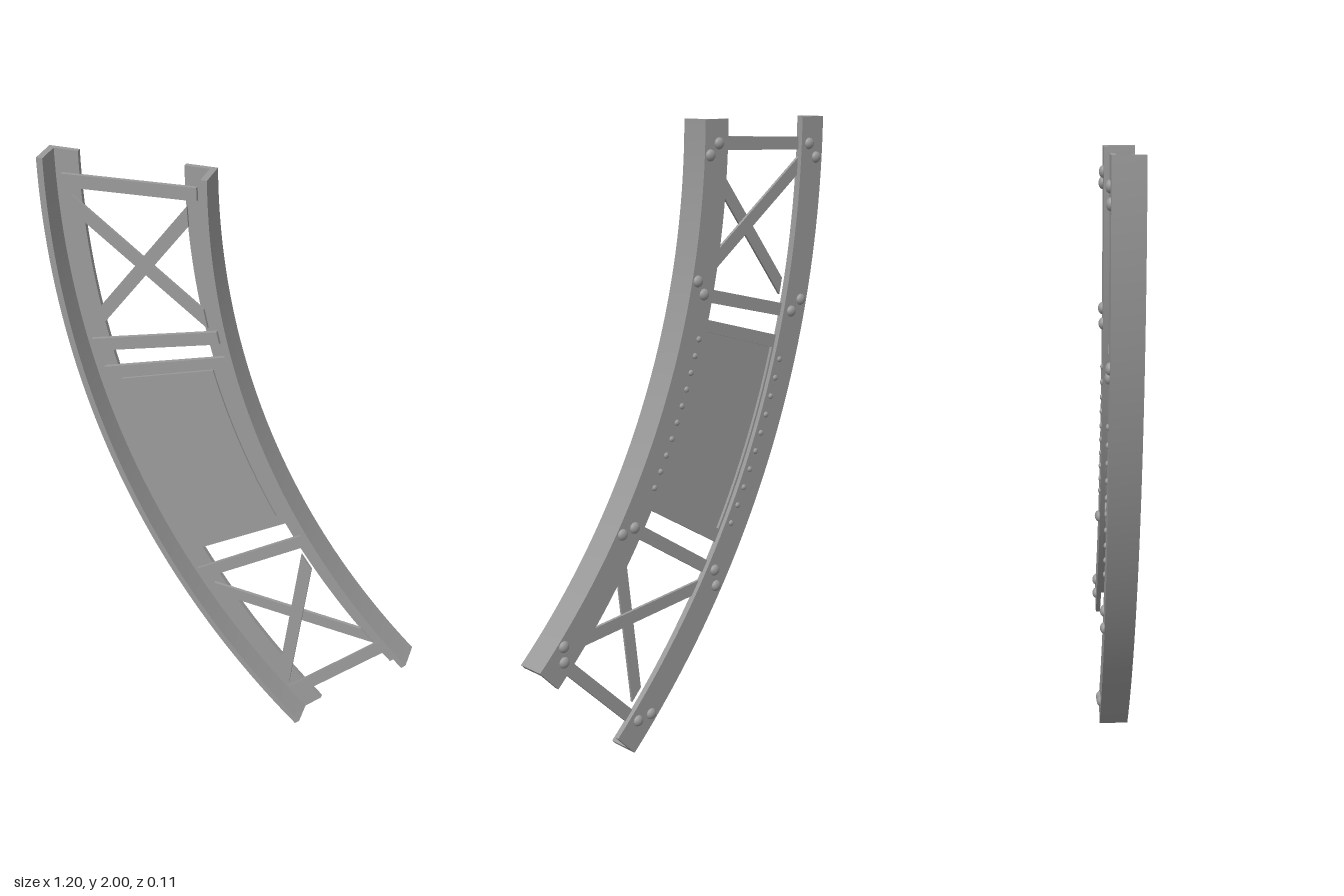
import * as THREE from 'three';
import { toCreasedNormals } from 'three/addons/utils/BufferGeometryUtils.js';

// Centre of curvature and radii of the curved girder
const CX = 2.228, CY = 2, R_OUT = 2.828, R_IN = 2.302, SWEEP = 45;
const rad = THREE.MathUtils.degToRad;
const material = new THREE.MeshStandardMaterial({ color: 0x9a9a9a });

// Point at radius r and angle a (degrees down from the top end)
const polar = (r, a) => new THREE.Vector2(CX - r * Math.cos(rad(a)), CY - r * Math.sin(rad(a)));

// Closed arc-shaped outline
function sector(Type, r0, r1, a0, a1) {
  const s = new Type();
  s.absarc(CX, CY, r1, Math.PI + rad(a0), Math.PI + rad(a1), false);
  s.absarc(CX, CY, r0, Math.PI + rad(a1), Math.PI + rad(a0), true);
  s.closePath();
  return s;
}

function plate(name, shape, z0, z1) {
  const geo = new THREE.ExtrudeGeometry(shape, { depth: z1 - z0, bevelEnabled: false, curveSegments: 28 });
  geo.translate(0, 0, z0);
  const mesh = new THREE.Mesh(toCreasedNormals(geo, 0.4), material);
  mesh.name = name;
  return mesh;
}

// Straight bar from radius r0 to r1, its ends cut parallel to the rails
function bar(name, r0, a0, r1, a1, z0, z1) {
  const p = polar(r0, a0), q = polar(r1, a1);
  const d = q.clone().sub(p).normalize();
  const endCut = (a) => {
    const t = new THREE.Vector2(Math.sin(rad(a)), -Math.cos(rad(a)));
    return t.multiplyScalar(0.021 / Math.abs(d.cross(t)));
  };
  const u = endCut(a0), v = endCut(a1);
  const corners = [p.clone().add(u), q.clone().add(v), q.clone().sub(v), p.clone().sub(u)];
  return plate(name, new THREE.Shape(corners), z0, z1);
}

export function createModel() {
  const model = new THREE.Group();
  model.name = 'curvedGirder';
  const BACK = -0.042, FLANGE = -0.027, FRONT = 0.055;

  // L-section rails: a deep web on the rim and a flat flange at the back
  const rails = [
    ['outer', R_OUT - 0.02, R_OUT, R_OUT - 0.097, R_OUT - 0.02],
    ['inner', R_IN, R_IN + 0.02, R_IN + 0.02, R_IN + 0.097],
  ];
  for (const [side, w0, w1, f0, f1] of rails) {
    const rail = new THREE.Group();
    rail.name = side + 'Rail';
    rail.add(plate(side + 'Web', sector(THREE.Shape, w0, w1, 0, SWEEP), BACK, FRONT));
    rail.add(plate(side + 'Flange', sector(THREE.Shape, f0, f1, 0, SWEEP), BACK, FLANGE));
    model.add(rail);
  }

  // Middle panel: frame with a sheet standing slightly proud at the front
  const frame = sector(THREE.Shape, 2.355, 2.775, 15, 30);
  frame.holes.push(sector(THREE.Path, 2.404, 2.724, 15.9, 29.1));
  model.add(plate('panelFrame', frame, FLANGE, -0.014));
  model.add(plate('panelSheet', sector(THREE.Shape, 2.404, 2.724, 15.9, 29.1), -0.017, -0.007));

  // Domed rivets on the back
  const dome = new THREE.SphereGeometry(1, 12, 5, 0, Math.PI * 2, 0, Math.PI / 2).rotateX(-Math.PI / 2);
  const rivet = (name, r, a, size, height) => {
    const m = new THREE.Mesh(dome, material);
    const p = polar(r, a);
    m.name = name;
    m.position.set(p.x, p.y, BACK);
    m.scale.set(size, size, height);
    model.add(m);
  };

  // Each end bay: two cross bars, crossed diagonals and paired rivets
  for (const end of [0, 1]) {
    const at = (a) => (end ? SWEEP - a : a);
    for (const [a, inward] of [[1.8, 1], [13.2, -1]]) {
      model.add(bar('crossBar', 2.355, at(a), 2.78, at(a), -0.012, 0));
      for (const [r, dr] of [[2.765, 0.035], [2.36, -0.035]]) {
        rivet('rivet', r, at(a), 0.019, 0.013);
        rivet('rivet', r + dr, at(a + inward * 0.9), 0.019, 0.013);
      }
    }
    const upper = end ? at(11.6) : 3.3, lower = end ? at(3.3) : 11.6;
    model.add(bar('rearDiagonal', 2.38, lower, 2.752, upper, -0.01, 0));
    model.add(bar('frontDiagonal', 2.38, upper, 2.752, lower, 0.011, 0.019));
  }

  // Rows of small rivets beside the panel
  for (let i = 0; i < 10; i++) {
    const a = 16.6 + (11.8 * i) / 9;
    for (const r of [2.755, 2.375]) rivet('panelRivet', r, a, 0.01, 0.007);
  }

  return model;
}
